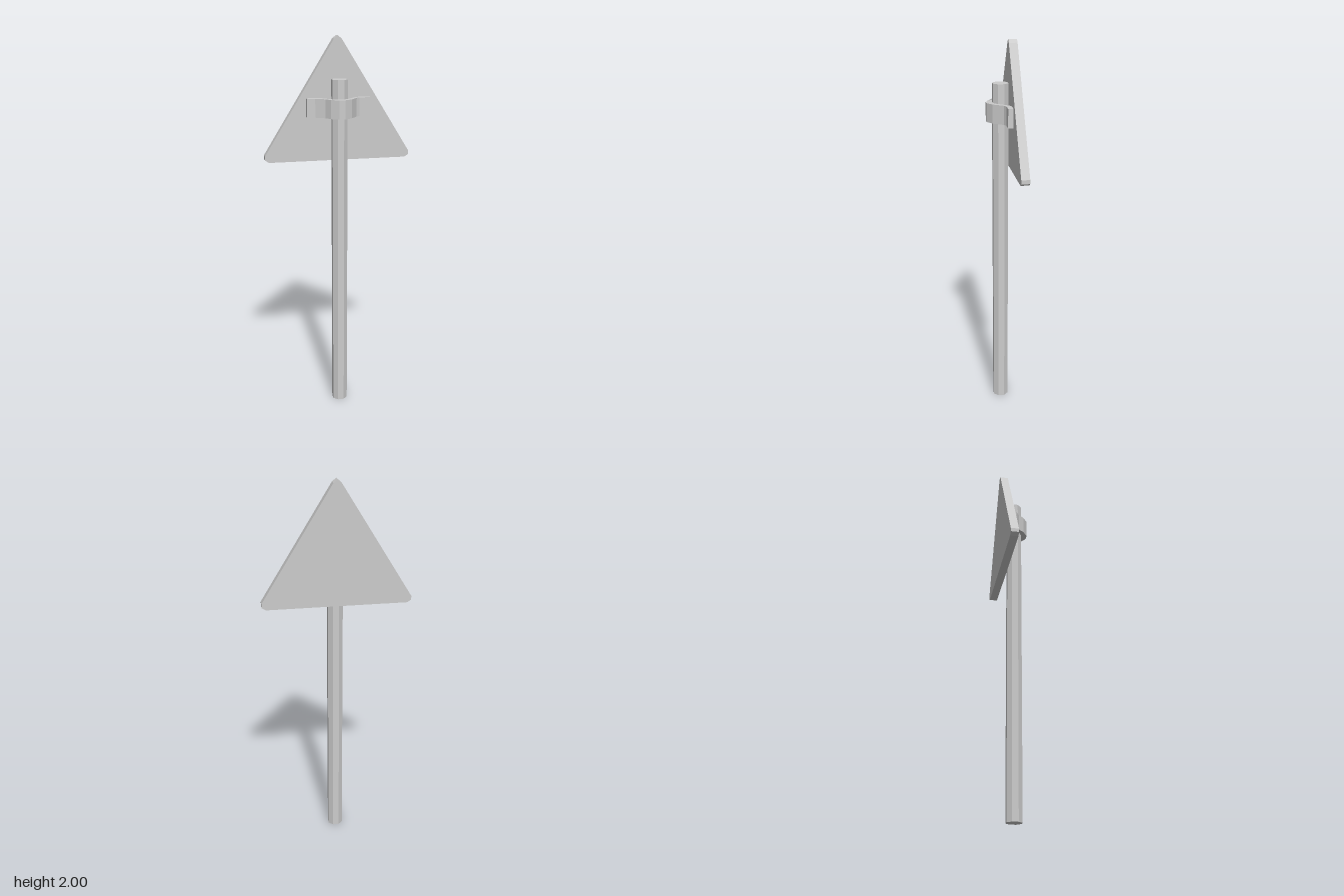
import * as THREE from 'three';

const material = new THREE.MeshStandardMaterial({ color: 0xcccccc, flatShading: true });

// Closed outline from its right half (listed from one end of the axis to the other)
function mirroredShape(right) {
  const left = right.filter(([x]) => x > 0).reverse().map(([x, y]) => [-x, y]);
  return new THREE.Shape([...right, ...left].map(([x, y]) => new THREE.Vector2(x, y)));
}

function addMesh(group, name, geometry) {
  const mesh = new THREE.Mesh(geometry, material);
  mesh.name = name;
  group.add(mesh);
  return mesh;
}

export function createModel() {
  const group = new THREE.Group();
  group.name = 'roadSign';

  // Eight-sided post with a flat side toward the panel
  const post = new THREE.CylinderGeometry(0.0422, 0.0422, 1.79, 8);
  post.rotateY(Math.PI / 8);
  addMesh(group, 'post', post).position.set(0, 0.895, 0.004);

  // Triangular panel with blunted corners
  const panelShape = mirroredShape([
    [0.36, 1.372], [0.38, 1.385], [0.38, 1.405], [0.02, 1.984], [0, 2],
  ]);
  const panel = new THREE.ExtrudeGeometry(panelShape, { depth: 0.043, bevelEnabled: false });
  addMesh(group, 'signPanel', panel).position.z = -0.078;

  // Clamp strap bent around the post, drawn in plan as (x, z)
  const outer = [[0.015, 0.075], [0.053, 0.05], [0.09, 0], [0.107, -0.009], [0.164, -0.009]];
  const inner = [[0.164, -0.035], [0.106, -0.035], [0.092, -0.029], [0.034, 0.033], [0.015, 0.043]];
  const strapShape = mirroredShape([...outer, ...inner]);
  // The mirrored halves meet at the middle, so order the loop as outer edge then inner edge
  const flip = (list) => list.map(([x, z]) => [-x, z]).reverse();
  strapShape.setFromPoints(
    [...flip(outer), ...outer, ...inner, ...flip(inner)].map(([x, z]) => new THREE.Vector2(x, z)),
  );
  const strap = new THREE.ExtrudeGeometry(strapShape, { depth: 0.095, bevelEnabled: false });
  strap.rotateX(Math.PI / 2);
  addMesh(group, 'clampStrap', strap).position.y = 1.695;

  return group;
}
